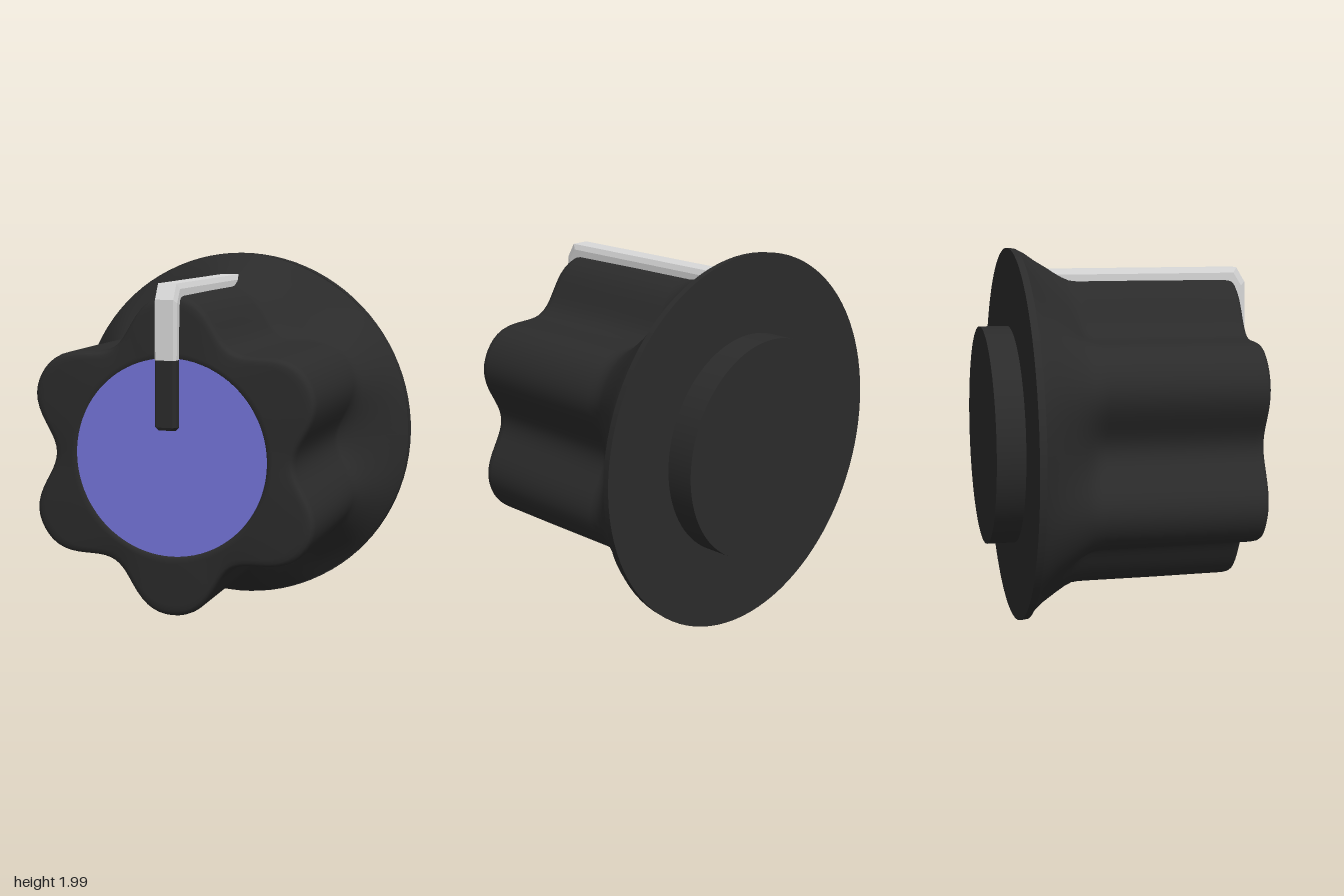
import * as THREE from 'three';

const CY = 1.005; // height of the knob axis
const LOBES = 6;
const SEG = 144;

const mat = (name, color) => {
  const m = new THREE.MeshStandardMaterial({ color });
  m.name = name;
  return m;
};

// Indexed geometry from equally long rings of points
function loft(rings, closeEnds = false) {
  const n = rings[0].length, pos = rings.flat(2), idx = [];
  for (let r = 0; r < rings.length - 1; r++) {
    for (let i = 0; i < n; i++) {
      const j = (i + 1) % n, a = r * n + i, b = r * n + j;
      idx.push(a, b, b + n, a, b + n, a + n);
    }
  }
  if (closeEnds) {
    const e = (rings.length - 1) * n;
    for (let i = 1; i < n - 1; i++) idx.push(0, i + 1, i, e, e + i, e + i + 1);
  }
  const g = new THREE.BufferGeometry();
  g.setAttribute('position', new THREE.Float32BufferAttribute(pos, 3));
  g.setIndex(idx);
  return g;
}

// Ring whose radius waves between valley and broad lobe, with a lobe at the top
function lobedRing([z, valley, lobe]) {
  const mid = (valley + lobe) / 2, amp = (lobe - valley) / 2;
  return Array.from({ length: SEG }, (_, i) => {
    const t = (i / SEG) * Math.PI * 2;
    const c = Math.cos(LOBES * t);
    const r = mid + amp * (c + 0.125 * (1 + c) * (1 - c * c));
    return [-r * Math.sin(t), r * Math.cos(t), z];
  });
}

// Pointer section: two inner corners, two shoulders, two narrower outer corners
function pointerRing([yo, zo, yi, zi, w]) {
  const x0 = -0.007, f = 0.8;
  const ys = yi + (yo - yi) * f, zs = zi + (zo - zi) * f;
  return [
    [x0 - w, ys, zs], [x0 - w + 0.012, yo, zo], [x0 + w - 0.012, yo, zo],
    [x0 + w, ys, zs], [x0 + w, yi, zi], [x0 - w, yi, zi],
  ];
}

export function createModel() {
  const black = mat('matte black', 0x2b2b2b);
  const white = mat('off white', 0xd8d8d8);
  const blue = mat('violet blue', 0x7474da);
  const group = new THREE.Group();
  group.name = 'controlKnob';

  const add = (name, geo, material, y = 0, z = 0) => {
    const m = new THREE.Mesh(geo, material);
    m.name = name;
    m.position.set(0, y, z);
    group.add(m);
  };

  // Lobed grip flowing into the round skirt: z, valley radius, lobe radius
  const profile = [
    [-0.54, 0.988, 0.992], [-0.5, 0.94, 0.972], [-0.44, 0.873, 0.93],
    [-0.36, 0.795, 0.882], [-0.3, 0.73, 0.848], [-0.26, 0.69, 0.832],
    [-0.22, 0.657, 0.828], [-0.18, 0.645, 0.828], [0.2, 0.643, 0.828],
    [0.6, 0.64, 0.825], [0.63, 0.635, 0.82], [0.645, 0.627, 0.81],
    [0.653, 0.615, 0.792], [0.657, 0.593, 0.76], [0.666, 0.535, 0.54],
    [0.664, 0.515, 0.515], [0.656, 0.506, 0.506], [0.65, 0.503, 0.503],
    [0.65, 0.001, 0.001],
  ];
  const body = loft(profile.map(lobedRing));
  body.computeVertexNormals();
  add('gripAndSkirt', body, black, CY);

  // Thin rim closing the back of the skirt
  const disc = (r1, r2, h) =>
    new THREE.CylinderGeometry(r1, r2, h, 96).rotateX(Math.PI / 2);
  add('skirtRim', disc(0.992, 0.996, 0.037), black, CY, -0.5575);

  // Mounting boss behind the skirt
  add('rearBoss', disc(0.582, 0.582, 0.16), black, CY, -0.645);

  // Coloured cap set into the front face
  add('capDisc', disc(0.507, 0.507, 0.009), blue, 1.01, 0.6585);

  // Raised pointer: outer y, z, inner y, z, half width
  const pointer = (name, stations, material) => {
    const g = loft(stations.map(pointerRing), true).toNonIndexed();
    g.computeVertexNormals();
    add(name, g, material);
  };
  pointer('pointerTip', [
    [1.16, 0.718, 1.14, 0.6, 0.04],
    [1.175, 0.725, 1.165, 0.6, 0.057],
    [1.51, 0.72, 1.51, 0.6, 0.057],
  ], black);
  pointer('pointerLine', [
    [1.51, 0.72, 1.51, 0.6, 0.058],
    [1.81, 0.715, 1.72, 0.6, 0.06],
    [1.888, 0.668, 1.75, 0.57, 0.06],
    [1.888, -0.365, 1.75, -0.365, 0.06],
  ], white);

  return group;
}
